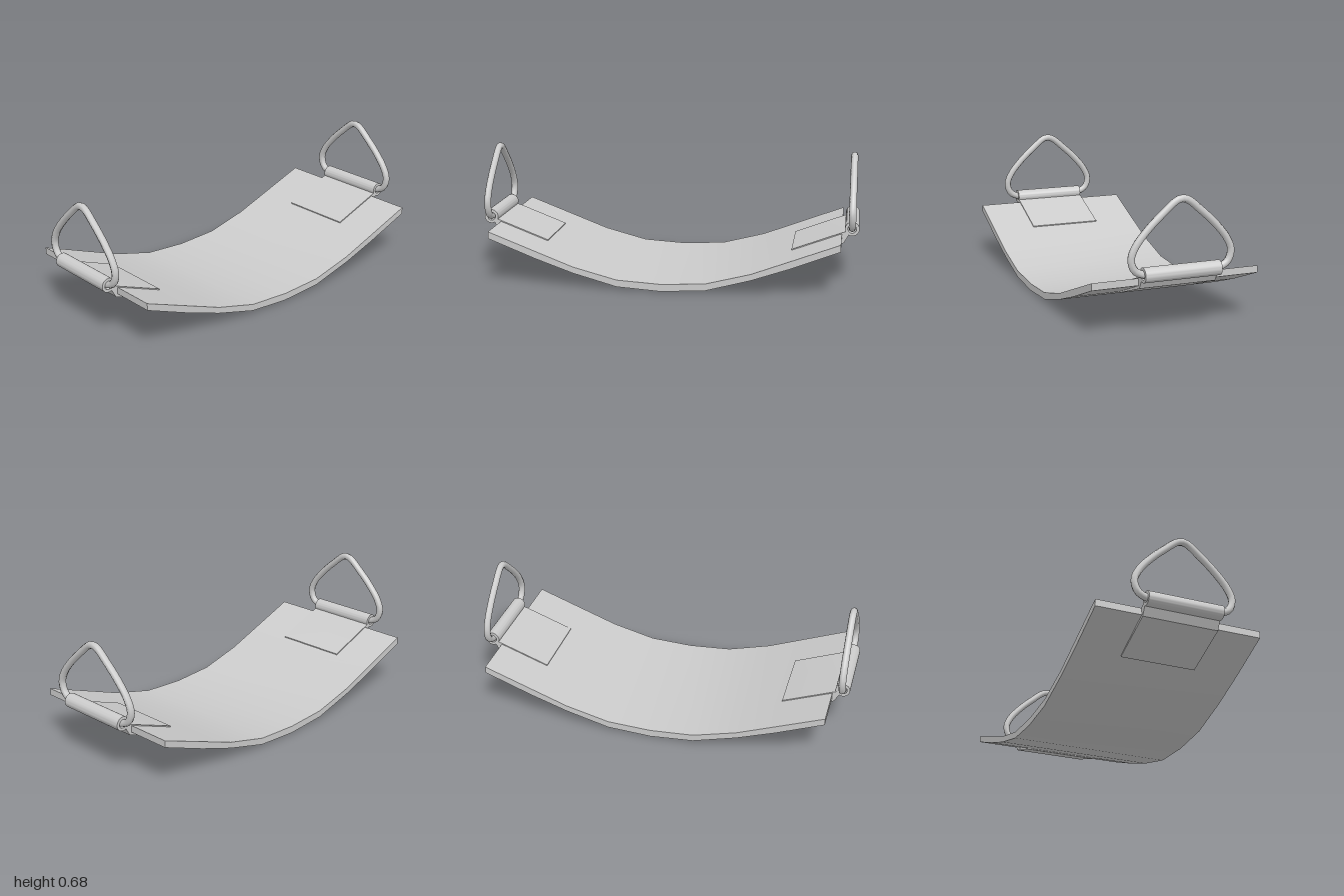
import * as THREE from 'three';
import { toCreasedNormals } from 'three/addons/utils/BufferGeometryUtils.js';

const material = new THREE.MeshStandardMaterial({ color: 0xcccccc });

// Extrude an x-y outline along z, centred, with smooth normals on the curves
function extrudeCentred(shape, depth, curveSegments = 12) {
  const geometry = new THREE.ExtrudeGeometry(shape, { depth, bevelEnabled: false, curveSegments });
  geometry.translate(0, 0, -depth / 2);
  return toCreasedNormals(geometry, 0.6);
}

function addPart(parent, name, geometry) {
  const mesh = new THREE.Mesh(geometry, material);
  mesh.name = name;
  parent.add(mesh);
}

export function createModel() {
  const model = new THREE.Group();
  model.name = 'beltSwingSeat';

  // Sagging belt: [x, bottom y, top y] for one half, mirrored for the other
  const half = [[0, 0, 0.038], [0.23, 0.015, 0.051], [0.46, 0.078, 0.111], [0.66, 0.148, 0.187], [0.907, 0.245, 0.281]];
  const stations = [...half.slice(1).reverse().map(([x, b, t]) => [-x, b, t]), ...half];
  const outline = [
    ...stations.map(([x, b]) => new THREE.Vector2(x, b)),
    ...stations.map(([x, , t]) => new THREE.Vector2(x, t)).reverse(),
  ];
  addPart(model, 'seatBelt', extrudeCentred(new THREE.Shape(outline), 0.864));

  // Clip: plates sandwiching the belt end, wrapped into a sleeve
  const cx = 0.959, cy = 0.308, deg = Math.PI / 180;
  const clip = new THREE.Shape();
  clip.moveTo(0.655, 0.14);
  clip.lineTo(0.918, 0.233);
  clip.absarc(cx, cy, 0.037, -118 * deg, 205 * deg, false);
  clip.lineTo(0.907, 0.287);
  clip.lineTo(0.65, 0.189);
  const bore = new THREE.Path();
  bore.absarc(cx, cy, 0.022, 0, Math.PI * 2, true);
  clip.holes.push(bore);
  const clipGeometry = extrudeCentred(clip, 0.394, 16);

  // Rounded triangular hanger, one bar running through the sleeve: [z, y]
  const side = [[0.02, 0.654], [0.1, 0.592], [0.175, 0.522], [0.235, 0.448], [0.257, 0.39], [0.24, 0.336], [0.195, 0.311], [0.1, 0.308]];
  const loop = [...side, ...side.map(([z, y]) => [-z, y]).reverse()];
  const path = new THREE.CatmullRomCurve3(loop.map(([z, y]) => new THREE.Vector3(cx, y, z)), true);
  const hangerGeometry = new THREE.TubeGeometry(path, 64, 0.0185, 8, true);

  for (const [name, turn] of [['left', 0], ['right', Math.PI]]) {
    const end = new THREE.Group();
    end.name = name + 'End';
    end.rotation.y = turn;
    addPart(end, name + 'Clip', clipGeometry);
    addPart(end, name + 'Hanger', hangerGeometry);
    model.add(end);
  }
  return model;
}
